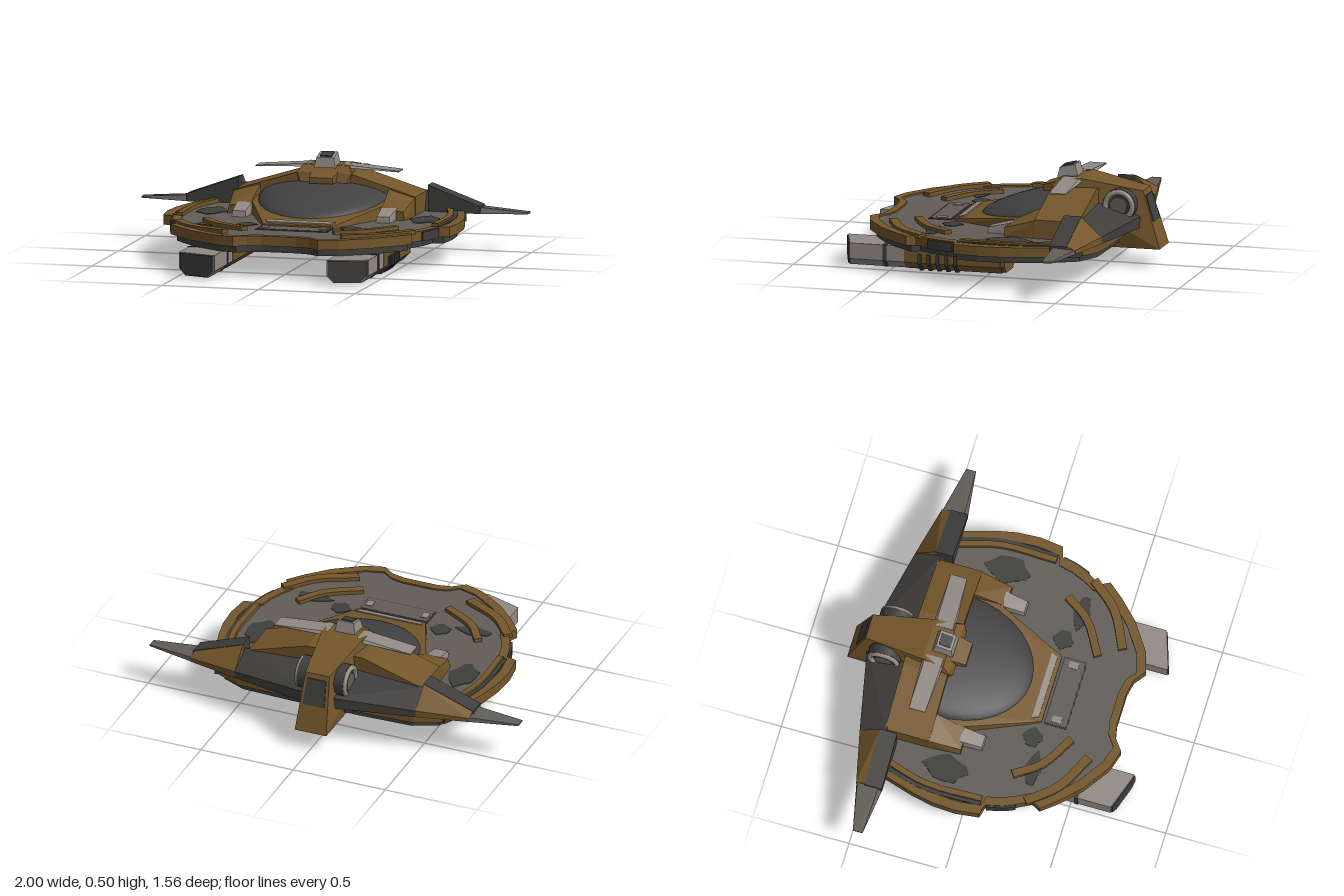
import * as THREE from 'three';
import { ConvexGeometry } from 'three/addons/geometries/ConvexGeometry.js';

const mat = (name, color, extra = {}) => {
  const m = new THREE.MeshStandardMaterial({ color, ...extra });
  m.name = name;
  return m;
};

export function createModel() {
  const model = new THREE.Group();
  model.name = 'spacecraft';
  const gold = mat('ochre', 0x74562a);
  const grey = mat('deck grey', 0x625d58);
  const dark = mat('charcoal', 0x3f3e3d);
  const light = mat('pale grey', 0x938b85);
  const glass = mat('canopy charcoal', 0x424242);

  const add = (name, geo, material) => {
    const mesh = new THREE.Mesh(geo, material);
    mesh.name = name;
    model.add(mesh);
    return mesh;
  };
  // Convex solid round a few [x, y, z] points
  const hull = (name, pts, material, s = 1) =>
    add(name, new ConvexGeometry(pts.map(([x, y, z]) => new THREE.Vector3(x * s, y, z))), material);
  // Symmetric solid: every point is repeated at -x
  const symHull = (name, pts, material) =>
    hull(name, pts.flatMap(([x, y, z]) => [[x, y, z], [-x, y, z]]), material);
  const box = (name, w, h, d, x, y, z, material) =>
    add(name, new THREE.BoxGeometry(w, h, d).translate(x, y, z), material);
  const toV2 = (pts) => pts.map(([x, z]) => new THREE.Vector2(x, -z));
  // Horizontal plate from an [x, z] outline
  const slab = (name, outline, y0, y1, material, hole) => {
    const shape = new THREE.Shape(toV2(outline));
    if (hole) shape.holes.push(new THREE.Path(toV2(hole)));
    const geo = new THREE.ExtrudeGeometry(shape, { depth: y1 - y0, bevelEnabled: false });
    return add(name, geo.rotateX(-Math.PI / 2).translate(0, y0, 0), material);
  };
  // Plate of constant width that follows a curve over the deck
  const rail = (name, pts, width, y0, y1, material, s = 1) => {
    const curve = new THREE.CatmullRomCurve3(pts.map(([x, z]) => new THREE.Vector3(x * s, 0, z)));
    const a = [], b = [];
    for (let i = 0; i <= 8; i++) {
      const p = curve.getPoint(i / 8), t = curve.getTangent(i / 8);
      a.push([p.x - t.z * width / 2, p.z + t.x * width / 2]);
      b.unshift([p.x + t.z * width / 2, p.z - t.x * width / 2]);
    }
    return slab(name, a.concat(b), y0, y1, material);
  };

  // Saucer hull
  const half = [[0.09, 0.625], [0.16, 0.64], [0.22, 0.685], [0.32, 0.655], [0.46, 0.56], [0.56, 0.46],
    [0.625, 0.38], [0.60, 0.335], [0.635, 0.27], [0.665, 0.2], [0.685, 0.115], [0.74, 0.1], [0.755, -0.02],
    [0.748, -0.14], [0.725, -0.25], [0.68, -0.4], [0.61, -0.53], [0.48, -0.59], [0.2, -0.6]];
  const outline = half.concat(half.map(([x, z]) => [-x, z]).reverse());
  const scaled = (k) => outline.map(([x, z]) => [x * k, z * k]);
  slab('rim', outline, 0.16, 0.21, gold, scaled(0.935));
  slab('deck', scaled(0.94), 0.17, 0.202, grey);
  slab('underside', scaled(0.955), 0.125, 0.172, dark);

  for (const s of [1, -1]) {
    // Deck rails and dark paint patches
    rail('innerFrontRail', [[0.49, 0.2], [0.4, 0.325], [0.23, 0.43]], 0.04, 0.2, 0.222, gold, s);
    rail('outerFrontRail', [[0.61, 0.3], [0.49, 0.44], [0.3, 0.54]], 0.045, 0.2, 0.222, gold, s);
    rail('sideRail', [[0.6, -0.42], [0.66, -0.2], [0.66, 0.09]], 0.03, 0.2, 0.222, gold, s);
    rail('sideGroove', [[0.63, -0.42], [0.685, -0.2], [0.685, 0.09]], 0.02, 0.2, 0.212, dark, s);
    rail('rimBlock', [[0.64, 0.26], [0.664, 0.2], [0.683, 0.12]], 0.02, 0.158, 0.205, dark, s);
    rail('rimRearBlock', [[0.68, -0.405], [0.65, -0.46], [0.615, -0.53]], 0.02, 0.158, 0.205, dark, s);
    const patch = (x, z, rx, rz) => slab('deckPatch', Array.from({ length: 12 }, (_, i) => {
      const a = i * Math.PI / 6, r = 1 + 0.15 * Math.sin(i * 2.3);
      return [s * (x + rx * r * Math.cos(a)), z + rz * r * Math.sin(a)];
    }), 0.2, 0.205, dark);
    patch(0.55, -0.13, 0.07, 0.11);
    patch(0.43, 0.29, 0.09, 0.04);
    patch(0.27, 0.24, 0.05, 0.05);
    box('hatchLight', 0.035, 0.006, 0.05, s * 0.15, 0.208, 0.33, light);

    // Engine pods: one cross-section stretched along z
    const section = [[0.29, 0.125], [0.49, 0.125], [0.49, 0.045], [0.455, 0.01], [0.325, 0.01], [0.29, 0.045]];
    const pod = (name, z0, z1, k, material) => hull(name, section.flatMap(([x, y]) => {
      const px = 0.39 + (x - 0.39) * k, py = 0.068 + (y - 0.068) * k;
      return [z0, z1].map((z) => [px, py, typeof z === 'function' ? z(px) : z]);
    }), material, s);
    const slant = (x) => 0.71 + (0.49 - x) * 0.33;
    pod('podNozzle', 0.42, slant, 1, light);
    pod('podFace', slant, (x) => slant(x) + 0.007, 0.94, dark);
    pod('podRing', 0.52, 0.54, 1.04, dark);
    pod('podBody', -0.07, 0.43, 1.02, gold);
    pod('podEnd', -0.09, -0.06, 0.94, gold);
    box('podMount', 0.15, 0.04, 0.5, s * 0.39, 0.13, 0.2, gold);
    for (let i = 0; i < 5; i++) {
      const z = 0.155 + i * 0.046;
      hull('podFin', [[0.4, 0.0], [0.46, 0.0], [0.5, 0.04], [0.5, 0.09], [0.47, 0.09]]
        .flatMap(([x, y]) => [[x, y, z], [x, y, z + 0.017]]), dark, s);
    }

    // Wings
    hull('wingRoot', [[0.05, 0.2, -0.45], [0.49, 0.2, -0.42], [0.05, 0.33, -0.45], [0.49, 0.3, -0.46],
      [0.05, 0.2, -0.685], [0.05, 0.26, -0.685], [0.49, 0.2, -0.595], [0.49, 0.235, -0.595]], dark, s);
    hull('wingBlock', [-0.4, -0.49].flatMap((z) => [[0.49, 0.195, z], [0.49, 0.335, z], [0.76, 0.2, z],
      [0.76, 0.238, z]]), dark, s);
    hull('wingPanel', [[0.49, 0.195, -0.49], [0.49, 0.333, -0.49], [0.755, 0.2, -0.49], [0.755, 0.237, -0.49],
      [0.49, 0.2, -0.595], [0.49, 0.235, -0.595], [0.755, 0.2, -0.535], [0.755, 0.22, -0.535]], gold, s);
    hull('wingTip', [[0.75, 0.2, -0.4], [0.75, 0.23, -0.42], [0.75, 0.2, -0.535], [0.75, 0.222, -0.53],
      [1, 0.203, -0.43], [1, 0.211, -0.43], [1, 0.203, -0.48], [1, 0.211, -0.48]], grey, s);

    // Cabin shoulders with pale front pads
    hull('cabinArm', [[0.33, 0.2, -0.25], [0.47, 0.2, -0.25], [0.47, 0.295, -0.25], [0.33, 0.335, -0.25],
      [0.34, 0.2, -0.08], [0.46, 0.2, -0.08], [0.45, 0.245, -0.08], [0.34, 0.255, -0.08]], gold, s);
    hull('armPad', [[0.335, 0.2, -0.1], [0.415, 0.2, -0.1], [0.335, 0.262, -0.1], [0.415, 0.26, -0.1],
      [0.335, 0.2, 0.02], [0.41, 0.2, 0.02], [0.34, 0.232, 0.015], [0.405, 0.232, 0.015]], light, s);

    // Thin upper blades
    hull('upperBlade', [[0.08, 0.425, -0.385], [0.08, 0.44, -0.37], [0.08, 0.425, -0.27], [0.08, 0.44, -0.28],
      [0.37, 0.41, -0.375], [0.37, 0.416, -0.375], [0.37, 0.41, -0.29], [0.37, 0.416, -0.29]], light, s);

    // Round side thrusters on the boom
    const drum = (name, r, w, x, material) => add(name, new THREE.CylinderGeometry(r, r, w, 20)
      .rotateZ(Math.PI / 2).translate(s * x, 0.315, -0.58), material);
    drum('thrusterDrum', 0.085, 0.06, 0.095, dark);
    add('thrusterRing', new THREE.TorusGeometry(0.07, 0.014, 8, 20).rotateY(Math.PI / 2)
      .translate(s * 0.128, 0.315, -0.58), light);
    drum('thrusterHub', 0.045, 0.03, 0.12, grey);
  }

  // Front hatch
  box('hatchFrame', 0.37, 0.004, 0.12, 0, 0.203, 0.33, dark);
  box('hatch', 0.355, 0.005, 0.105, 0, 0.2045, 0.33, grey);

  // Canopy collar slopes down to the front
  const baseY = (z) => 0.22 + Math.max(0, 0.16 - z) * 0.17;
  symHull('canopyCollar', [[0.35, 0.19, -0.4], [0.35, 0.19, -0.12], [0.2, 0.19, 0.2], [0.185, 0.19, 0.26],
    [0.345, baseY(-0.4), -0.4], [0.345, baseY(-0.12), -0.12], [0.2, 0.224, 0.19], [0.18, 0.212, 0.26]], gold);
  symHull('collarStrip', [[0.18, 0.222, 0.208], [0.18, 0.228, 0.208], [0.165, 0.215, 0.24],
    [0.165, 0.222, 0.24]], light);

  // Canopy: half dome seated on the sloped collar
  const dome = new THREE.SphereGeometry(1, 32, 12, 0, Math.PI * 2, 0, Math.PI / 2);
  const p = dome.attributes.position;
  for (let i = 0; i < p.count; i++) {
    const z = -0.26 + p.getZ(i) * (p.getZ(i) > 0 ? 0.42 : 0.1);
    p.setXYZ(i, p.getX(i) * 0.33, baseY(z) - 0.004 + p.getY(i) * 0.078, z);
  }
  dome.computeVertexNormals();
  add('canopy', dome, glass);

  // Cabin roof behind the canopy
  symHull('cabinRoof', [-0.24, -0.47].flatMap((z) => [[0.47, 0.2, z], [0.47, 0.297, z], [0.15, 0.395, z]]), gold);

  // Central boom and tail, with rear panel
  symHull('tailBoom', [[0.085, 0.095, -0.78], [0.065, 0.385, -0.69], [0.09, 0.095, -0.24], [0.11, 0.44, -0.38],
    [0.12, 0.435, -0.27], [0.14, 0.4, -0.235], [0.12, 0.355, -0.22]], gold);
  const backZ = (y) => -0.69 - (0.385 - y) * 0.31;
  symHull('tailPanel', [[0.05, 0.36], [0.058, 0.23]].flatMap(([x, y]) =>
    [[x, y, backZ(y) + 0.002], [x, y, backZ(y) - 0.005]]), dark);
  symHull('boomNose', [[0.07, 0.36, -0.25], [0.07, 0.41, -0.25], [0.06, 0.355, -0.17], [0.06, 0.385, -0.17]], gold);

  // Sensor turret
  symHull('turret', [[0.055, 0.425, -0.24], [0.055, 0.425, -0.35], [0.045, 0.475, -0.25],
    [0.045, 0.495, -0.33]], light);
  box('turretCap', 0.06, 0.008, 0.06, 0, 0, 0, dark).position.set(0, 0.487, -0.29);
  model.children.at(-1).rotation.x = 0.245;

  // Lower crossbar
  symHull('crossbar', [[0.29, 0.07, -0.08], [0.29, 0.13, -0.08], [0.29, 0.04, -0.24], [0.29, 0.13, -0.255]], gold);

  return model;
}
